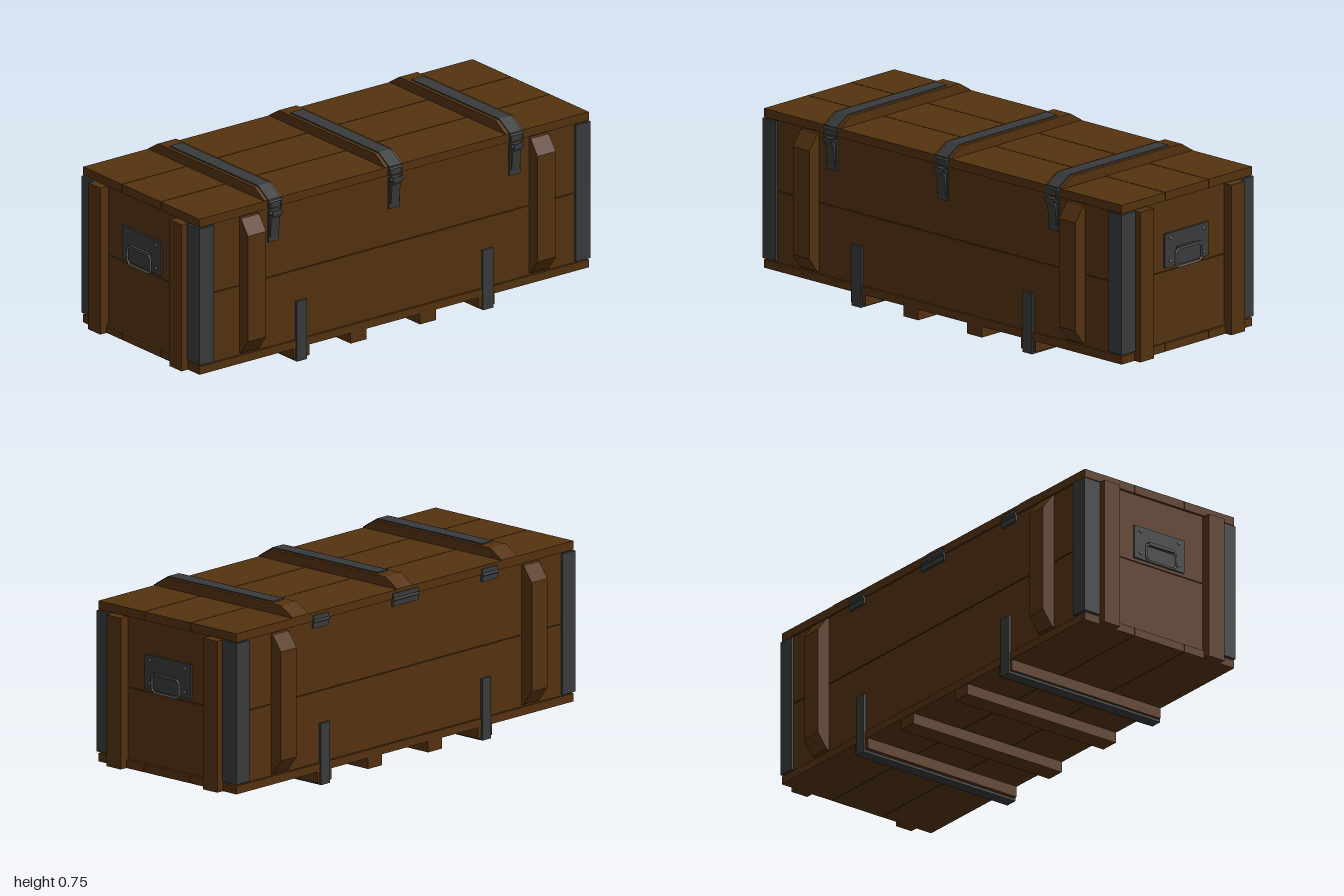
import * as THREE from 'three';

const mat = (name, color) => {
  const m = new THREE.MeshStandardMaterial({ color });
  m.name = name;
  return m;
};

export function createModel() {
  const wood = mat('brown wood', 0x54320f);
  const steel = mat('dark steel', 0x393a3b);
  const worn = mat('worn steel', 0x626364);
  const crate = new THREE.Group();
  crate.name = 'crate';

  const add = (name, geo, material, parent = crate) => {
    const mesh = new THREE.Mesh(geo, material);
    mesh.name = name;
    parent.add(mesh);
    return mesh;
  };
  // box given by its limits on each axis
  const box = (name, material, [x0, x1], [y0, y1], [z0, z1], parent = crate) => {
    const geo = new THREE.BoxGeometry(x1 - x0, y1 - y0, z1 - z0);
    geo.translate((x0 + x1) / 2, (y0 + y1) / 2, (z0 + z1) / 2);
    return add(name, geo, material, parent);
  };
  // (z, y) outline extruded to a width along x
  const profile = (name, material, points, x, width, parent = crate) => {
    const shape = new THREE.Shape(points.map(([z, y]) => new THREE.Vector2(z, y)));
    const geo = new THREE.ExtrudeGeometry(shape, { depth: width, bevelEnabled: false });
    geo.rotateY(-Math.PI / 2).translate(x + width / 2, 0, 0);
    return add(name, geo, material, parent);
  };

  // body: two courses of boards with a thin seam
  box('lowerBoards', wood, [-0.96, 0.96], [0.09, 0.379], [-0.365, 0.365]);
  box('upperBoards', wood, [-0.96, 0.96], [0.382, 0.669], [-0.365, 0.365]);
  box('seamCore', wood, [-0.95, 0.95], [0.37, 0.39], [-0.355, 0.355]);

  // floor and lid: three planks each
  for (const [z0, z1] of [[-0.37, -0.125], [-0.122, 0.122], [0.125, 0.37]]) {
    box('floorPlank', wood, [-0.968, 0.968], [0.055, 0.088], [z0, z1]);
    box('lidPlank', wood, [-0.968, 0.968], [0.671, 0.706], [z0, z1]);
  }

  // runners under the floor, the outer two wrapped by steel straps
  for (const x of [-0.46, -0.175, 0.17, 0.46]) {
    box('runner', wood, [x - 0.04, x + 0.04], [0.01, 0.055], [-0.368, 0.368]);
  }
  for (const x of [-0.463, 0.463]) {
    profile('baseStrap', steel, [
      [-0.376, 0.25], [-0.376, 0], [0.376, 0], [0.376, 0.25],
      [0.364, 0.25], [0.364, 0.01], [-0.364, 0.01], [-0.364, 0.25],
    ], x, 0.05);
  }

  // upright battens on the long sides, chamfered at both ends
  for (const s of [-1, 1]) {
    for (const x of [-0.72, 0.72]) {
      profile('sideBatten', wood, [
        [s * 0.36, 0.095], [s * 0.375, 0.1], [s * 0.419, 0.16],
        [s * 0.419, 0.602], [s * 0.375, 0.663], [s * 0.36, 0.668],
      ], x, 0.09);
    }
  }

  // ends: battens, corner angles, handle plate and handle
  for (const s of [-1, 1]) {
    const end = new THREE.Group();
    end.name = s > 0 ? 'leftEnd' : 'rightEnd';
    end.rotation.y = s > 0 ? 0 : Math.PI;
    crate.add(end);
    for (const t of [-1, 1]) {
      const span = (a, b) => (t > 0 ? [a, b] : [-b, -a]);
      box('endBatten', wood, [0.95, 1], [0.055, 0.668], span(0.22, 0.297), end);
      box('cornerEndPlate', steel, [0.955, 0.972], [0.095, 0.667], span(0.297, 0.375), end);
      box('cornerSidePlate', steel, [0.9, 0.971], [0.095, 0.667], span(0.36, 0.375), end);
      for (const y of [0.42, 0.515]) {
        const rivet = new THREE.SphereGeometry(0.007, 10, 8);
        rivet.scale(0.6, 1, 1).translate(0.969, y, t * 0.094);
        add('rivet', rivet, worn, end);
      }
    }
    box('handlePlate', steel, [0.955, 0.968], [0.395, 0.535], [-0.123, 0.123], end);
    box('handleBracket', steel, [0.96, 0.983], [0.46, 0.472], [-0.062, 0.062], end);
    const ring = [[-0.06, 0.465], [-0.073, 0.452], [-0.073, 0.405], [-0.06, 0.391],
      [0.06, 0.391], [0.073, 0.405], [0.073, 0.452], [0.06, 0.465]];
    const path = new THREE.CurvePath();
    ring.forEach(([z, y], i) => {
      const [z2, y2] = ring[(i + 1) % ring.length];
      path.add(new THREE.LineCurve3(new THREE.Vector3(0.979, y, z), new THREE.Vector3(0.979, y2, z2)));
    });
    add('handle', new THREE.TubeGeometry(path, 96, 0.0045, 8, true), worn, end);
  }

  // lid battens with steel straps and front latches
  for (const x of [-0.6, 0, 0.6]) {
    profile('lidBatten', wood, [
      [-0.37, 0.704], [0.37, 0.704], [0.37, 0.708], [0.308, 0.746], [-0.308, 0.746], [-0.37, 0.708],
    ], x, 0.09);
    profile('lidStrap', steel, [
      [-0.25, 0.744], [0.306, 0.744], [0.367, 0.705], [0.367, 0.672],
      [0.377, 0.672], [0.377, 0.71], [0.31, 0.751], [-0.25, 0.751],
    ], x, 0.06);

    const latch = new THREE.Group();
    latch.name = 'latch';
    latch.position.x = x;
    crate.add(latch);
    box('latchPlate', steel, [-0.027, 0.027], [0.53, 0.662], [0.36, 0.372], latch);
    profile('latchLever', steel, [
      [0.37, 0.555], [0.376, 0.55], [0.384, 0.63], [0.394, 0.645], [0.394, 0.665], [0.37, 0.665],
    ], 0, 0.042, latch);
    const pin = new THREE.CylinderGeometry(0.007, 0.007, 0.064, 12);
    pin.rotateZ(Math.PI / 2).translate(0, 0.655, 0.384);
    add('latchPin', pin, steel, latch);
    for (const s of [-1, 1]) {
      const link = new THREE.CylinderGeometry(0.003, 0.003, 0.048, 8);
      link.translate(s * 0.028, 0.679, 0.384);
      add('latchLink', link, worn, latch);
    }
    const hook = new THREE.CylinderGeometry(0.004, 0.004, 0.062, 8);
    hook.rotateZ(Math.PI / 2).translate(0, 0.702, 0.382);
    add('latchHook', hook, worn, latch);
  }

  // hinges along the back edge
  for (const [x, w] of [[-0.485, 0.045], [0, 0.072], [0.485, 0.045]]) {
    box('hingeLeaf', steel, [x - w, x + w], [0.642, 0.694], [-0.374, -0.36]);
    const knuckle = new THREE.CylinderGeometry(0.006, 0.006, w * 2, 12);
    knuckle.rotateZ(Math.PI / 2).translate(x, 0.67, -0.374);
    add('hingeKnuckle', knuckle, steel);
  }

  return crate;
}
